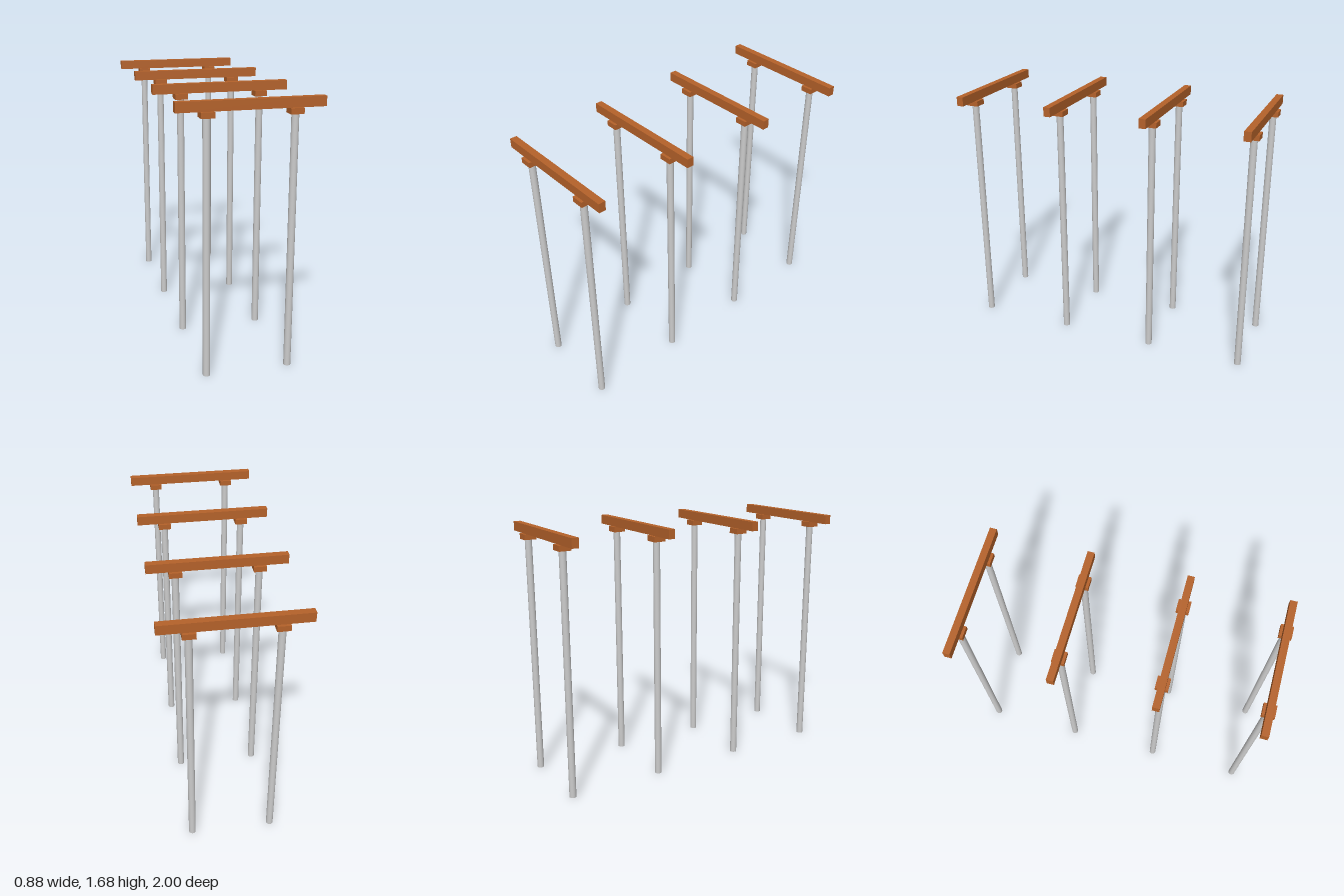
import * as THREE from 'three';

export function createModel() {
  const model = new THREE.Group();
  const wood = new THREE.MeshStandardMaterial({ color: 0xb5622a });
  const grey = new THREE.MeshStandardMaterial({ color: 0xcccccc });

  const beamGeo = new THREE.BoxGeometry(0.88, 0.06, 0.045);
  const capGeo = new THREE.BoxGeometry(0.08, 0.035, 0.08);
  const postGeo = new THREE.CylinderGeometry(0.0225, 0.0225, 1.587, 16);

  const add = (parent, name, geometry, material, x, y) => {
    const mesh = new THREE.Mesh(geometry, material);
    mesh.name = name;
    mesh.position.set(x, y, 0);
    parent.add(mesh);
  };

  // Four identical frames in a row, each a beam resting on two capped posts
  for (let i = 0; i < 4; i++) {
    const frame = new THREE.Group();
    frame.name = `frame${i + 1}`;
    frame.position.z = 0.96 - i * 0.64;
    add(frame, 'beam', beamGeo, wood, 0, 1.652);
    for (const [side, x] of [['left', 0.26], ['right', -0.26]]) {
      add(frame, `${side}Cap`, capGeo, wood, x, 1.6045);
      add(frame, `${side}Post`, postGeo, grey, x, 0.7935);
    }
    model.add(frame);
  }
  return model;
}
